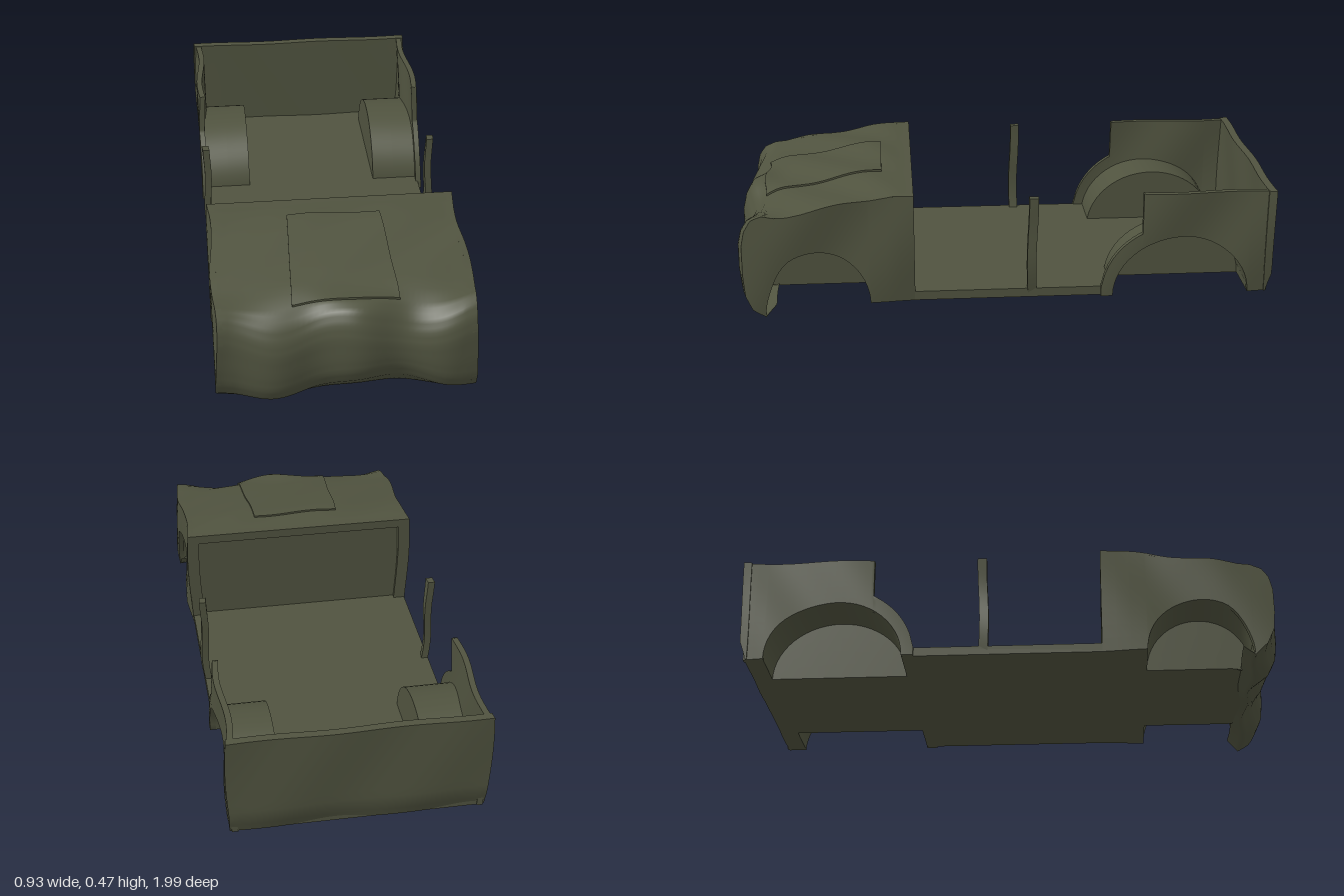
import * as THREE from 'three';

const { smoothstep, lerp } = THREE.MathUtils;
const olive = new THREE.MeshStandardMaterial({ color: 0x50533f, side: THREE.DoubleSide });
olive.name = 'olive drab';

// Linear lookup in a list of [position, value] points
function lookup(points, t) {
  for (let i = 1; i < points.length; i++) {
    const [a, va] = points[i - 1], [b, vb] = points[i];
    if (t <= b) return lerp(va, vb, Math.max(0, (t - a) / (b - a)));
  }
  return points[points.length - 1][1];
}

// Crumpled metal: a waved nose, a wrinkled hood and wobbling flanks
function dent([x, y, z]) {
  const nose = smoothstep(z, 0.82, 0.97);
  const low = 1 - smoothstep(y, 0.1, 0.3);
  const hood = smoothstep(z, 0.38, 0.5) * smoothstep(y, 0.28, 0.4);
  const dy = nose * (low * 0.035 * Math.cos((x - 0.1) * 8.4) + (1 - low) * 0.028 * Math.cos(x * 13))
    + hood * (0.012 * Math.cos(3.5 * x) + 0.006 * Math.sin(x * 17 + z * 20));
  const dz = nose * 0.013 * Math.cos(x * 21 - 1);
  const dx = Math.abs(x) > 0.4 ? Math.sign(x) * 0.008 * Math.sin(z * 14 + y * 9) : 0;
  return [x + dx, y + dy, z + dz];
}

// Sheet of metal: a subdivided box whose vertices follow map(u, v, w), all in 0..1
function sheet(name, nu, nv, map) {
  const geo = new THREE.BoxGeometry(1, 1, 1, nu, nv, 1);
  const pos = geo.attributes.position;
  for (let i = 0; i < pos.count; i++) {
    pos.setXYZ(i, ...dent(map(pos.getX(i) + 0.5, pos.getY(i) + 0.5, pos.getZ(i) + 0.5)));
  }
  geo.computeVertexNormals();
  const mesh = new THREE.Mesh(geo, olive);
  mesh.name = name;
  return mesh;
}

// Wheel openings: centre, half length and height
const BASE = 0.048;
const rearArch = { z: -0.645, r: 0.255, h: 0.225 };
const frontArch = { z: 0.705, r: 0.195, h: 0.2 };
const ellipse = (z, c, r, h) => BASE + h * Math.sqrt(Math.max(0, 1 - ((z - c) / r) ** 2));

// Hood and nose outline from the dashboard to under the bumper, as [z, y]
const nosePath = [[0.345, 0.46], [0.42, 0.46], [0.52, 0.447], [0.62, 0.43], [0.76, 0.406], [0.9, 0.378],
  [0.945, 0.35], [0.97, 0.31], [0.982, 0.26], [0.982, 0.18], [0.975, 0.12], [0.95, 0.065], [0.9, 0.02], [0.86, 0.05]];
const upperNose = nosePath.slice(0, 9);
const lowerNose = [[0.9, 0.02], [0.95, 0.065], [0.975, 0.12], [0.982, 0.2]];

// Columns along z, packed closely at the ends of the wheel opening
function columns(arch, before, after) {
  const list = [...before];
  for (let i = 0; i <= 28; i++) list.push(arch.z - arch.r * Math.cos(Math.PI * i / 28));
  return [...list, ...after];
}

// Upright side panel between a lower and an upper curve
function sidePanel(name, side, zs, lower, upper) {
  const n = zs.length - 1;
  return sheet(name, n, 8, (u, v, w) => {
    const z = zs[Math.round(u * n)];
    return [side * (0.452 - 0.022 * w), lerp(lower(z), upper(z), v), z];
  });
}

// Arched wheel housing, open below, with an inner wall
function wheelHousing(name, side, arch) {
  const group = new THREE.Group();
  group.name = name;
  group.add(sheet('housingArch', 28, 2, (u, v, w) => {
    const a = Math.PI * u;
    return [side * lerp(0.26, 0.435, v), BASE + (arch.h + 0.008 * w) * Math.sin(a),
      arch.z - (arch.r + 0.008 * w) * Math.cos(a)];
  }));
  group.add(sheet('housingWall', 28, 4, (u, v, w) => {
    const a = Math.PI * u;
    return [side * (0.26 + 0.008 * w), BASE + v * arch.h * Math.sin(a), arch.z - arch.r * Math.cos(a)];
  }));
  return group;
}

function box(name, x0, x1, y0, y1, z0, z1) {
  return sheet(name, 8, 6, (u, v, w) => [lerp(x0, x1, u), lerp(y0, y1, v), lerp(z0, z1, w)]);
}

export function createModel() {
  const model = new THREE.Group();
  model.name = 'wreckedCarBody';

  // Floor pan with notches for the wheels
  const edge = [[0.445, -0.97], [0.445, -0.9], [0.26, -0.9], [0.26, -0.39], [0.445, -0.39],
    [0.445, 0.51], [0.26, 0.51], [0.26, 0.9]];
  const outline = [...edge, ...edge.map(([x, z]) => [-x, z]).reverse()];
  const floorGeo = new THREE.ExtrudeGeometry(
    new THREE.Shape(outline.map(([x, z]) => new THREE.Vector2(x, z))), { depth: 0.034, bevelEnabled: false });
  floorGeo.rotateX(Math.PI / 2).translate(0, 0.082, 0);
  const floor = new THREE.Mesh(floorGeo, olive);
  floor.name = 'floor';
  model.add(floor);

  // Hood, nose and bumper in one bent skin
  const steps = 3, last = nosePath.length - 1;
  model.add(sheet('hoodAndNose', 48, last * steps, (u, v, w) => {
    const t = v * last, i = Math.min(last - 1, Math.floor(t + 1e-6)), f = t - i;
    const z = lerp(nosePath[i][0], nosePath[i + 1][0], f);
    const y = lerp(nosePath[i][1], nosePath[i + 1][1], f);
    return [lerp(-0.452, 0.452, u), y + (0.22 - y) * 0.03 * w, z + (0.65 - z) * 0.02 * w];
  }));

  // Raised hood lid
  model.add(sheet('hoodLid', 20, 18, (u, v, w) => {
    const z = lerp(0.46, 0.9, v);
    return [lerp(-0.18, 0.18, u) * (0.94 + 0.1 * v), lookup(upperNose, z) + 0.007 * w, z];
  }));

  // Firewall with its raised frame
  model.add(box('firewall', -0.44, 0.44, 0.05, 0.455, 0.365, 0.385));
  model.add(box('firewallTopFrame', -0.45, 0.45, 0.425, 0.46, 0.345, 0.37));

  // Tailgate, tucked in at the bottom
  model.add(sheet('tailgate', 24, 12, (u, v, w) => {
    const x = lerp(-0.458, 0.458, u), y = lerp(0.048, 0.447, v);
    const tuck = 0.025 * (1 - smoothstep(y, 0.04, 0.13));
    return [x, y, -0.993 + 0.03 * w + tuck * (1 - w) + 0.004 * Math.sin(x * 13 + y * 8)];
  }));

  const rearZs = columns(rearArch, [-0.975, -0.94], [-0.375, -0.36, -0.346]);
  rearZs.push(-0.5, -0.498);
  rearZs.sort((a, b) => a - b);
  const frontZs = columns(frontArch, [0.346, 0.4, 0.45], [0.925, 0.95, 0.965, 0.975, 0.981]);

  for (const [label, side] of [['left', 1], ['right', -1]]) {
    // Rear quarter: high behind, following the wheel arch in front
    model.add(sidePanel(label + 'RearQuarter', side, rearZs,
      z => ellipse(z, rearArch.z, rearArch.r, rearArch.h),
      z => z <= -0.4995 ? 0.445 : Math.max(0.08, ellipse(z, rearArch.z, 0.3, 0.28))));

    // Front fender under the hood edge
    model.add(sidePanel(label + 'FrontFender', side, frontZs,
      z => z > 0.9 ? lookup(lowerNose, z) : ellipse(z, frontArch.z, frontArch.r, frontArch.h) - 0.028 * smoothstep(z, 0.8, 0.9),
      z => lookup(upperNose, z)));

    model.add(wheelHousing(label + 'RearHousing', side, rearArch));
    model.add(wheelHousing(label + 'FrontHousing', side, frontArch));
    model.add(box(label + 'FirewallFrame', side * 0.405, side * 0.45, 0.05, 0.455, 0.345, 0.37));

    // Slightly bent door post
    model.add(sheet(label + 'DoorPost', 1, 12, (u, v, w) => {
      const y = lerp(0.06, 0.44, v);
      return [side * (0.422 + 0.026 * u + 0.006 * Math.sin(v * 7)), y,
        -0.108 + 0.034 * w + 0.004 * Math.sin(v * 5)];
    }));
  }
  return model;
}
